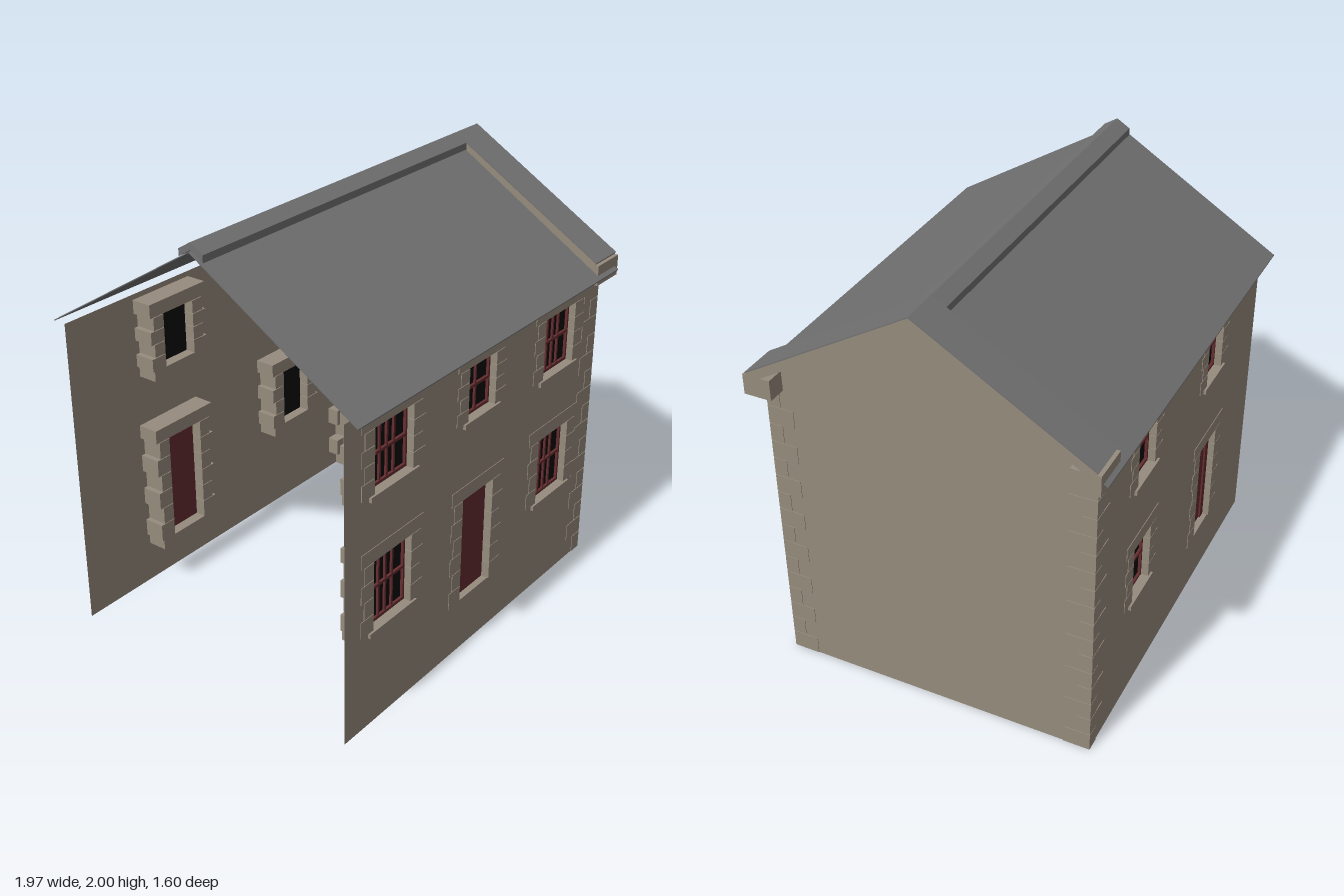
import * as THREE from 'three';

const mat = (name, color, side = THREE.FrontSide) => {
  const m = new THREE.MeshStandardMaterial({ color, side });
  m.name = name;
  return m;
};

export function createModel() {
  const stone = mat('sandstone', 0x968b7d);
  const wallMat = mat('wall render', 0x968b7d, THREE.DoubleSide);
  const slate = mat('grey slate', 0x717171, THREE.DoubleSide);
  const paint = mat('dark red paint', 0x652d2f);
  const glass = mat('black glass', 0x0b0b0b);

  const house = new THREE.Group();
  house.name = 'house';
  const WALL = 0.735, LEFT = -0.985, GABLE = 0.9, EAVE = 1.47;

  const add = (parent, name, geo, material) => {
    const m = new THREE.Mesh(geo, material);
    m.name = name;
    parent.add(m);
    return m;
  };
  const group = (name) => {
    const g = new THREE.Group();
    g.name = name;
    house.add(g);
    return g;
  };
  // Box given by its limits; s = -1 mirrors it to the back of the house
  const block = (parent, name, material, s, [x0, x1], [y0, y1], [z0, z1]) => {
    const m = add(parent, name, new THREE.BoxGeometry(x1 - x0, y1 - y0, z1 - z0), material);
    m.position.set((x0 + x1) / 2, (y0 + y1) / 2, s * (z0 + z1) / 2);
    return m;
  };
  const polygon = (pts) => new THREE.Shape(pts.map(([x, y]) => new THREE.Vector2(x, y)));

  // Openings as centre x, width, bottom, top
  const front = [
    { x: -0.67, w: 0.26, y0: 0.46, y1: 0.785, bars: [-0.046, 0, 0.046] },
    { x: 0.575, w: 0.26, y0: 0.46, y1: 0.785, bars: [-0.046, 0, 0.046] },
    { x: -0.67, w: 0.26, y0: 1.092, y1: 1.38, bars: [-0.046, 0, 0.046] },
    { x: 0.575, w: 0.26, y0: 1.092, y1: 1.38, bars: [-0.046, 0, 0.046] },
    { x: -0.05, w: 0.21, y0: 1.135, y1: 1.38, bars: [0] },
    { x: -0.05, w: 0.24, y0: 0.25, y1: 0.765, door: true },
  ];
  const back = [
    { x: 0.39, w: 0.19, y0: 0.50, y1: 0.785, bars: [0] },
    { x: 0.39, w: 0.19, y0: 1.122, y1: 1.38, bars: [0] },
    { x: -0.415, w: 0.19, y0: 1.122, y1: 1.38, bars: [0] },
    { x: -0.415, w: 0.21, y0: 0.25, y1: 0.765, door: true },
  ];

  // Stone surround with alternating jamb blocks, and its window or door
  const opening = (o, s) => {
    const g = group(o.door ? 'door' : 'window');
    const a = o.x - o.w / 2, b = o.x + o.w / 2;
    const deep = [0.635, WALL + 0.003];
    const rows = o.door ? 6 : 4, h = (o.y1 - o.y0) / rows;
    for (let i = 0; i < rows; i++) {
      const w = i % 2 ? 0.06 : 0.08;
      const ys = [o.y0 + i * h, o.y0 + (i + 1) * h - 0.003];
      block(g, 'jambStone', stone, s, [a - w, a + 0.003], ys, deep);
      block(g, 'jambStone', stone, s, [b - 0.003, b + w], ys, deep);
    }
    block(g, 'lintel', stone, s, [a - 0.08, b + 0.08], [o.y1, o.y1 + 0.065], deep);
    block(g, 'innerSill', stone, s, [a - 0.07, b + 0.07], [o.y0 - 0.05, o.y0], [0.635, WALL - 0.004]);

    if (o.door) {
      block(g, 'doorPost', paint, s, [a, a + 0.04], [o.y0, o.y1], [0.685, 0.708]);
      block(g, 'doorPanel', paint, s, [a + 0.04, b], [o.y0, o.y1], [0.685, 0.70]);
      return;
    }
    block(g, 'sill', stone, s, [a - 0.03, b + 0.03], [o.y0 - 0.023, o.y0], [0.68, 0.748]);
    block(g, 'pane', glass, s, [a, b], [o.y0, o.y1], [0.685, 0.692]);
    const face = [0.69, 0.705], t = 0.013, mid = (o.y0 + o.y1) / 2;
    for (const x of [a + t / 2, b - t / 2]) {
      block(g, 'frameSide', paint, s, [x - t / 2, x + t / 2], [o.y0, o.y1], face);
    }
    for (const y of [o.y0 + t / 2, mid, o.y1 - t / 2]) {
      block(g, 'frameRail', paint, s, [a, b], [y - t / 2, y + t / 2], [0.69, 0.704]);
    }
    for (const d of o.bars) {
      block(g, 'glazingBar', paint, s, [o.x + d - 0.005, o.x + d + 0.005], [o.y0, o.y1], [0.69, 0.702]);
    }
  };

  // Long walls with real openings
  for (const [name, list, s] of [['frontWall', front, 1], ['backWall', back, -1]]) {
    const shape = polygon([[LEFT, 0], [GABLE, 0], [GABLE, EAVE], [LEFT, EAVE]]);
    for (const o of list) {
      const a = o.x - o.w / 2, b = o.x + o.w / 2;
      shape.holes.push(polygon([[a, o.y0], [a, o.y1], [b, o.y1], [b, o.y0]]));
      opening(o, s);
    }
    add(house, name, new THREE.ShapeGeometry(shape), wallMat).position.z = s * WALL;
  }

  // Gable end wall
  const gable = add(house, 'gableWall', new THREE.ShapeGeometry(polygon([
    [-WALL, 0], [WALL, 0], [WALL, 1.5], [0.7, 1.52], [0, 1.94], [-0.7, 1.52], [-WALL, 1.5],
  ])), wallMat);
  gable.rotation.y = Math.PI / 2;
  gable.position.x = GABLE;

  // Corner stones, alternately long along each wall
  const quoins = group('cornerStones');
  const count = 16, qh = 1.435 / count;
  for (const s of [1, -1]) {
    for (let i = 0; i < count; i++) {
      const [lx, lz] = i % 2 ? [0.12, 0.06] : [0.06, 0.12];
      block(quoins, 'cornerStone', stone, s, [GABLE - lx, GABLE + 0.003],
        [i * qh, (i + 1) * qh - 0.004], [WALL - lz, WALL + 0.003]);
    }
  }

  // Prism along x from a (z, y) outline on the front side, mirrored by s
  const prism = (parent, name, pts, x0, x1, s, material) => {
    const shape = polygon(pts.map(([z, y]) => [-s * z, y]));
    const geo = new THREE.ExtrudeGeometry(shape, { depth: x1 - x0, bevelEnabled: false });
    geo.rotateY(Math.PI / 2);
    geo.translate(x0, 0, 0);
    return add(parent, name, geo, material);
  };

  const roof = group('roof');
  const coping = group('gableCoping');
  for (const s of [1, -1]) {
    // Thin slate slope
    prism(roof, 'roofSlope', [[0, 1.965], [0.8, 1.472], [0.8, 1.467], [0, 1.96]], LEFT, 0.96, s, slate);
    // Ridge tile
    prism(roof, 'ridgeTile', [[0, 2.0], [0.062, 1.962], [0.062, 1.93], [0, 1.968]], -0.975, 0.805, s, slate);
    // Sloping coping with a grey weathered top, resting on a kneeler block
    prism(coping, 'copingStone', [[0, 1.995], [0.768, 1.537], [0.745, 1.502], [0, 1.95]], 0.805, 0.985, s, stone);
    prism(coping, 'copingTop', [[0, 2.0], [0.77, 1.541], [0.768, 1.537], [0, 1.995]], 0.805, 0.985, s, slate);
    block(coping, 'kneeler', stone, s, [0.805, 0.985], [1.435, 1.53], [0.655, 0.782]);
  }

  return house;
}
